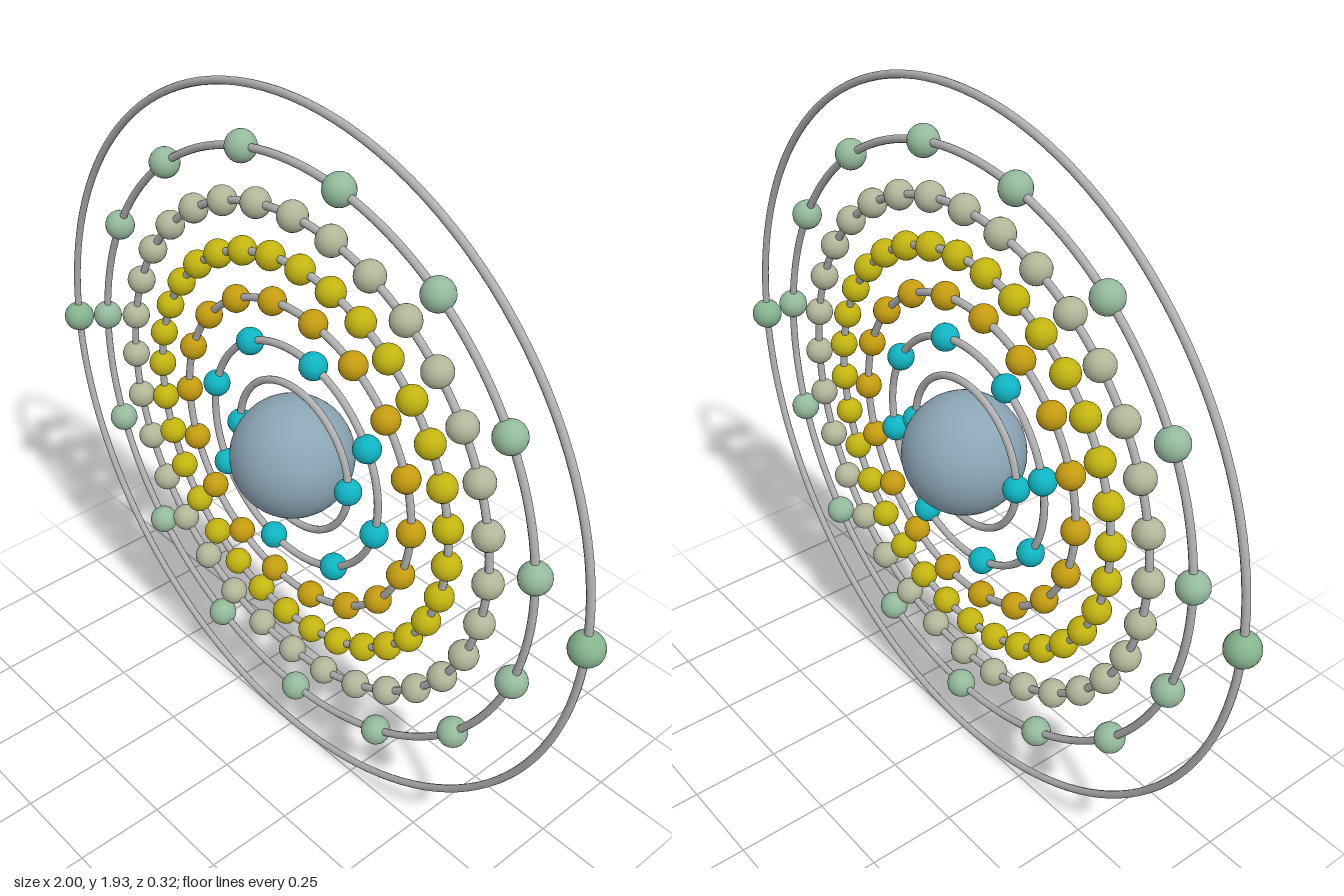
import * as THREE from 'three';

// One entry per orbit, from the inside out: ring radius, bead count,
// angle of the first bead in degrees, bead radius and bead colour
const ORBITS = [
  { radius: 0.208, count: 2, start: 0, bead: 0.035, color: 0x0fb4c2 },
  { radius: 0.313, count: 8, start: 31, bead: 0.036, color: 0x0fb4c2 },
  { radius: 0.426, count: 18, start: 0, bead: 0.036, color: 0xc49c10 },
  { radius: 0.546, count: 32, start: -2.8, bead: 0.037, color: 0xc2b410 },
  { radius: 0.672, count: 32, start: 0, bead: 0.038, color: 0xb2b699 },
  { radius: 0.806, count: 15, start: 7, bead: 0.04, color: 0x94ba9c },
  { radius: 0.957, count: 2, start: 0, bead: 0.043, color: 0x86b48e },
];
const TUBE = 0.01;
const CENTRE_Y = 0.97;

const material = (color) => new THREE.MeshStandardMaterial({ color });

function addMesh(parent, name, geometry, mat) {
  const mesh = new THREE.Mesh(geometry, mat);
  mesh.name = name;
  parent.add(mesh);
  return mesh;
}

// A thin ring with beads spaced evenly along it
function makeOrbit({ radius, count, start, bead, color }, index, ringMaterial) {
  const orbit = new THREE.Group();
  orbit.name = `orbit${index + 1}`;
  addMesh(orbit, 'orbitRing', new THREE.TorusGeometry(radius, TUBE, 10, 128), ringMaterial);

  const beadGeometry = new THREE.SphereGeometry(bead, 20, 14);
  const beadMaterial = material(color);
  for (let i = 0; i < count; i++) {
    const angle = THREE.MathUtils.degToRad(start) + (i / count) * Math.PI * 2;
    const electron = addMesh(orbit, 'electron', beadGeometry, beadMaterial);
    electron.position.set(radius * Math.cos(angle), radius * Math.sin(angle), 0);
  }
  return orbit;
}

export function createModel() {
  const model = new THREE.Group();
  model.name = 'atomModel';

  // Everything lies around one centre in the upright plane
  const atom = new THREE.Group();
  atom.name = 'atom';
  atom.position.y = CENTRE_Y;
  model.add(atom);

  addMesh(atom, 'nucleus', new THREE.SphereGeometry(0.162, 40, 28), material(0x8ba5b5));

  const ringMaterial = material(0xb0b0b0);
  ORBITS.forEach((spec, i) => atom.add(makeOrbit(spec, i, ringMaterial)));
  return model;
}
